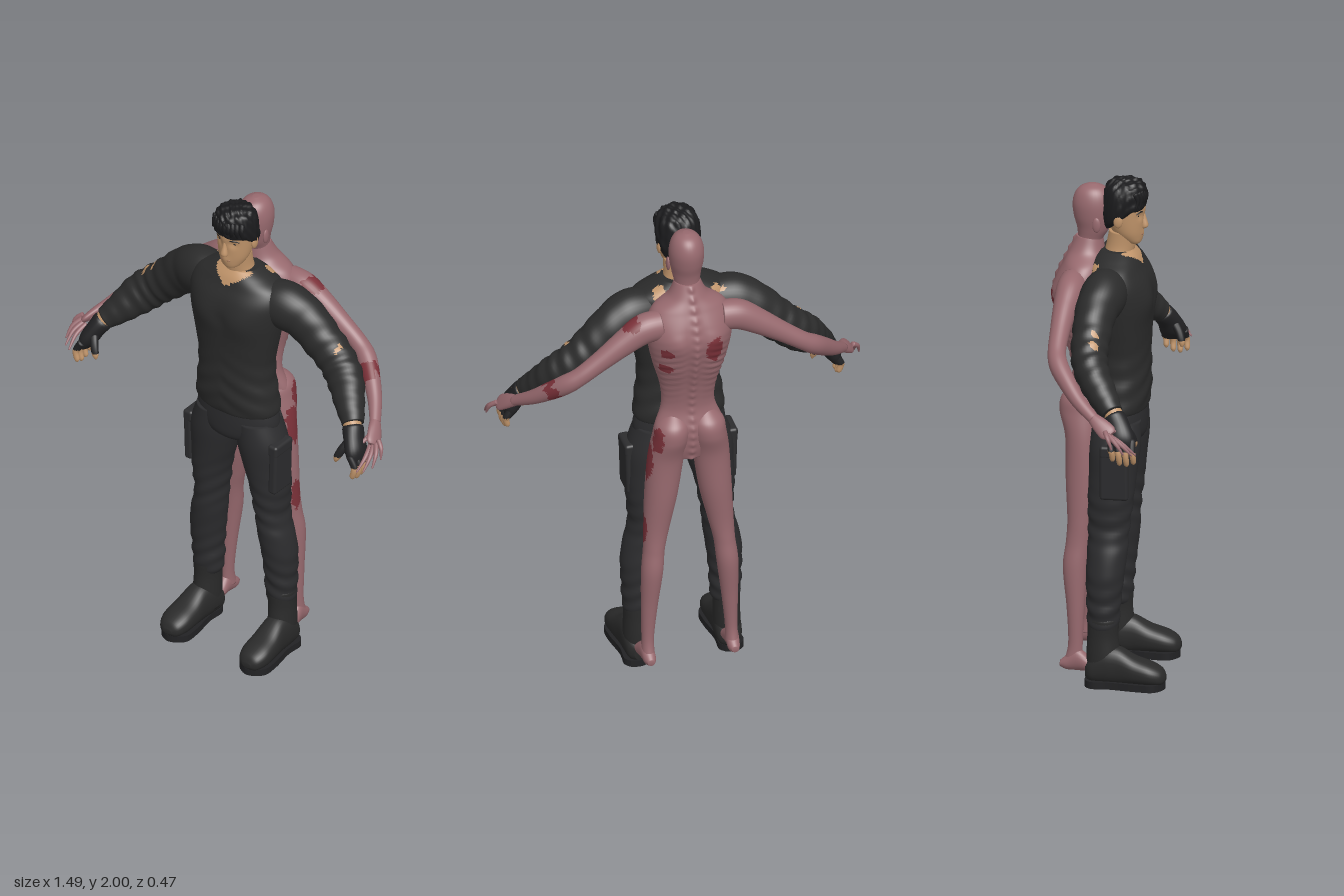
import * as THREE from 'three';
import { RoundedBoxGeometry } from 'three/addons/geometries/RoundedBoxGeometry.js';

const paint = (name, color) => Object.assign(new THREE.MeshStandardMaterial({ color }), { name });
const V = (x, y, z) => new THREE.Vector3(x, y, z);
const Y = V(0, 1, 0), Z = V(0, 0, 1), X = V(1, 0, 0);
const gauss = (dx, dy, r) => Math.exp(-(dx * dx + dy * dy) / (r * r));

// true where a point lies in one of the ragged ellipsoids [x, y, z, rx, ry, rz]
const inBlobs = blobs => p => blobs.some(([x, y, z, a, b, c]) => {
  const wobble = 0.16 * Math.sin(p.y * 170 + p.x * 60) + 0.12 * Math.sin(p.z * 210 + p.y * 90);
  return ((p.x - x) / a) ** 2 + ((p.y - y) / b) ** 2 + ((p.z - z) / c) ** 2 < 1 + wobble;
});

// smooth skin through rings [x, y, z, a, b]; b lies along ref, a across it
function loft(name, mats, rings, { n = 32, steps = 6, ref = Z, dir, pow = 1, shape, spot } = {}) {
  const at = i => rings[Math.min(Math.max(i, 0), rings.length - 1)];
  const rows = [];
  for (let i = 0; i < rings.length - 1; i++) {
    for (let k = 0; k < steps + (i === rings.length - 2 ? 1 : 0); k++) {
      const t = k / steps, [p, q, r, s] = [at(i - 1), at(i), at(i + 1), at(i + 2)];
      rows.push(q.map((_, j) => 0.5 * (2 * q[j] + (r[j] - p[j]) * t
        + (2 * p[j] - 5 * q[j] + 4 * r[j] - s[j]) * t * t + (3 * q[j] - p[j] - 3 * r[j] + s[j]) * t ** 3)));
    }
  }
  const pts = [], centre = r => V(r[0], r[1], r[2]);
  rows.forEach((r, i) => {
    const T = dir ? dir.clone() : centre(rows[Math.min(i + 1, rows.length - 1)]).sub(centre(rows[Math.max(i - 1, 0)])).normalize();
    const B = ref.clone().addScaledVector(T, -ref.dot(T)).normalize();
    const A = B.clone().cross(T);
    for (let j = 0; j < n; j++) {
      const w = j / n * Math.PI * 2, c = Math.cos(w), s = Math.sin(w);
      const p = centre(r).addScaledVector(A, Math.max(r[3], 0.002) * Math.sign(c) * Math.abs(c) ** pow)
        .addScaledVector(B, Math.max(r[4], 0.002) * Math.sign(s) * Math.abs(s) ** pow);
      if (shape) shape(p, A.clone().multiplyScalar(c).addScaledVector(B, s), i / (rows.length - 1));
      pts.push(p);
    }
  });
  const last = (rows.length - 1) * n, end = pts.length;
  pts.push(centre(rows[0]), centre(rows[rows.length - 1]));
  const lists = [[], []];
  const tri = (a, b, c) => {
    const mid = pts[a].clone().add(pts[b]).add(pts[c]).divideScalar(3);
    lists[spot && spot(mid) ? 1 : 0].push(a, b, c);
  };
  for (let j = 0; j < n; j++) {
    const k = (j + 1) % n;
    for (let i = 0; i < last; i += n) {
      tri(i + j, i + k, i + n + j);
      tri(i + k, i + n + k, i + n + j);
    }
    tri(end, k, j);
    tri(end + 1, last + j, last + k);
  }
  const g = new THREE.BufferGeometry().setFromPoints(pts);
  g.setIndex([...lists[0], ...lists[1]]);
  if (spot) {
    g.addGroup(0, lists[0].length, 0);
    g.addGroup(lists[0].length, lists[1].length, 1);
  }
  g.computeVertexNormals();
  const m = new THREE.Mesh(g, mats);
  m.name = name;
  return m;
}

function ball(name, mat, pos, size) {
  const m = new THREE.Mesh(new THREE.SphereGeometry(1, 18, 12), mat);
  m.name = name;
  m.position.set(...pos);
  m.scale.set(...size);
  return m;
}

export function createModel() {
  const skin = paint('skin', 0xc0946a), lip = paint('lips', 0xa4735a), hair = paint('hair', 0x1b1b1d);
  const shirt = paint('shirt', 0x2b2b2b), pants = paint('trousers', 0x2c2c2e), boot = paint('boots', 0x2a2a2a);
  const glove = paint('gloves', 0x222224), flesh = paint('flesh', 0x97696e), wound = paint('wounds', 0x7b3139);
  const model = new THREE.Group(), man = new THREE.Group(), creature = new THREE.Group();
  man.name = 'clothedMan';
  creature.name = 'gauntCreature';
  model.add(man, creature);
  const side = (s, rings) => rings.map(([x, ...r]) => [s * x, ...r]);

  // head, face and neck
  man.add(loft('neck', skin, [[0, 1.62, 0.02, 0.08, 0.06], [0, 1.68, 0.025, 0.068, 0.058], [0, 1.73, 0.035, 0.058, 0.056], [0, 1.79, 0.045, 0.058, 0.055]], { dir: Y }));
  man.add(loft('head', skin, [[0, 1.735, 0.088, 0.018, 0.016], [0, 1.745, 0.083, 0.037, 0.031], [0, 1.77, 0.068, 0.055, 0.05],
    [0, 1.80, 0.058, 0.066, 0.063], [0, 1.85, 0.05, 0.074, 0.073], [0, 1.90, 0.048, 0.077, 0.077], [0, 1.94, 0.048, 0.07, 0.073], [0, 1.975, 0.048, 0.04, 0.045]], {
    dir: Y, n: 48, shape: p => {
      if (p.z < 0.07) return;
      p.z += 0.006 * gauss(p.x, p.y - 1.877, 0.03) - 0.009 * gauss(Math.abs(p.x) - 0.031, p.y - 1.855, 0.014) + 0.005 * gauss(p.x, p.y - 1.775, 0.02);
    } }));
  man.add(loft('nose', skin, [[0, 1.868, 0.118, 0.006, 0.007], [0, 1.84, 0.122, 0.009, 0.011], [0, 1.808, 0.127, 0.015, 0.014], [0, 1.797, 0.12, 0.009, 0.008]], { dir: Y.clone().negate(), n: 14 }));
  man.add(ball('mouth', lip, [0, 1.777, 0.117], [0.022, 0.006, 0.006]));
  for (const s of [-1, 1]) {
    man.add(ball('eye', hair, [s * 0.031, 1.855, 0.106], [0.011, 0.004, 0.004]));
    man.add(loft('eyebrow', hair, side(s, [[0.015, 1.868, 0.121, 0.003, 0.003], [0.034, 1.873, 0.115, 0.004, 0.004], [0.053, 1.866, 0.1, 0.002, 0.003]]), { n: 8 }));
    man.add(ball('ear', skin, [s * 0.077, 1.845, 0.035], [0.009, 0.028, 0.018]));
  }

  // tousled hair, lower at the nape than at the fringe
  man.add(loft('hair', hair, [[0, 1.875, 0.046, 0.074, 0.072], [0, 1.885, 0.046, 0.084, 0.083], [0, 1.92, 0.046, 0.087, 0.088],
    [0, 1.955, 0.048, 0.08, 0.083], [0, 1.98, 0.05, 0.062, 0.066], [0, 1.992, 0.052, 0.03, 0.034], [0, 1.993, 0.052, 0.004, 0.004]], {
    dir: Y, n: 64, shape: (p, out, t) => {
      const lump = Math.sin(p.x * 130 + p.y * 60) * Math.sin(p.z * 120 - p.y * 90) + 0.5 * Math.sin(p.x * 260 - p.z * 210);
      p.addScaledVector(out, 0.0035 * lump * (1 - t * 0.5));
      p.y += 0.004 * lump;
      p.y -= Math.max(0, 0.75 - t) * Math.min(0.1, Math.max(0, 0.085 - p.z));
    } }));
  for (let i = -4; i <= 4; i++) {
    const x = i * 0.016, z = 0.046 + 0.086 * Math.sqrt(1 - (x / 0.095) ** 2);
    man.add(loft('hairLock', hair, [[x, 1.955, z - 0.012, 0.01, 0.01], [x + 0.004, 1.925, z, 0.012, 0.008], [x + 0.009 * Math.sin(i * 5), 1.89 + 0.006 * Math.sin(i * 3), z - 0.007, 0.003, 0.003]], { n: 8, steps: 4 }));
  }

  // shirt body with an open neckline and torn shoulder
  const tear = inBlobs([[-0.14, 1.68, -0.06, 0.03, 0.03, 0.03], [0.10, 1.69, -0.045, 0.025, 0.04, 0.035],
    [-0.47, 1.46, 0, 0.012, 0.06, 0.022], [-0.435, 1.49, 0, 0.01, 0.05, 0.018], [0.455, 1.46, 0, 0.012, 0.06, 0.025]]);
  man.add(loft('shirt', [shirt, skin], [[0, 1.085, 0.035, 0.165, 0.098], [0, 1.09, 0.035, 0.178, 0.107], [0, 1.14, 0.038, 0.177, 0.112], [0, 1.22, 0.043, 0.165, 0.108],
    [0, 1.32, 0.044, 0.164, 0.106], [0, 1.42, 0.043, 0.182, 0.112], [0, 1.52, 0.04, 0.2, 0.12], [0, 1.60, 0.032, 0.208, 0.117], [0, 1.655, 0.022, 0.19, 0.1],
    [0, 1.69, 0.02, 0.13, 0.085], [0, 1.715, 0.022, 0.074, 0.064]], {
    dir: Y, n: 72, pow: 0.9, shape: (p, out) => {
      const fold = Math.sin(p.y * 75 + Math.abs(p.x) * 40) * gauss(0, p.y - 1.2, 0.12);
      p.addScaledVector(out, 0.003 * fold);
      if (p.z > 0.05) p.z += 0.012 * gauss(Math.abs(p.x) - 0.085, p.y - 1.53, 0.07) - 0.005 * gauss(p.x, p.y - 1.52, 0.03);
    }, spot: p => tear(p) || (p.z > 0.05 && p.y > 1.655 + Math.abs(p.x) * 0.65) }));

  for (const s of [-1, 1]) {
    // sleeve, fingerless glove and fingers
    man.add(loft('sleeve', [shirt, skin], side(s, [[0.11, 1.59, 0.01, 0.08, 0.08], [0.2, 1.585, 0, 0.098, 0.088], [0.28, 1.545, -0.018, 0.092, 0.08], [0.36, 1.475, -0.023, 0.084, 0.074],
      [0.43, 1.415, -0.02, 0.08, 0.07], [0.49, 1.36, 0.005, 0.078, 0.066], [0.55, 1.295, 0.055, 0.06, 0.056], [0.595, 1.25, 0.095, 0.044, 0.042]]), {
      n: 40, steps: 10, shape: (p, out, t) => p.addScaledVector(out, 0.003 * Math.sin(t * 60 + p.z * 35) * gauss(0, t - 0.6, 0.3)), spot: tear }));
    man.add(loft('wrist', skin, side(s, [[0.57, 1.275, 0.08, 0.036, 0.036], [0.615, 1.225, 0.115, 0.034, 0.036]]), { n: 20 }));
    man.add(loft('glove', glove, side(s, [[0.597, 1.245, 0.1, 0.03, 0.03], [0.6, 1.24, 0.103, 0.04, 0.042], [0.62, 1.205, 0.122, 0.036, 0.046], [0.64, 1.165, 0.135, 0.034, 0.052], [0.652, 1.13, 0.14, 0.02, 0.046]]), { n: 24 }));
    for (let k = 0; k < 4; k++) {
      const z = 0.1 + k * 0.027, drop = [0.018, 0.003, 0, 0.01][k];
      man.add(loft('finger', [skin, glove], side(s, [[0.642, 1.165, z, 0.015, 0.013], [0.663, 1.13, z, 0.015, 0.013], [0.668, 1.1 + drop, z + 0.004, 0.013, 0.012], [0.66, 1.072 + drop, z + 0.006, 0.011, 0.01], [0.655, 1.064 + drop, z + 0.006, 0.004, 0.004]]),
        { n: 12, steps: 4, spot: p => p.y > 1.125 }));
    }
    man.add(loft('thumb', [glove, skin], side(s, [[0.615, 1.205, 0.14, 0.018, 0.018], [0.595, 1.17, 0.165, 0.017, 0.016], [0.58, 1.135, 0.178, 0.014, 0.013], [0.575, 1.115, 0.18, 0.005, 0.005]]), { n: 12, spot: p => p.y < 1.14 }));

    // trouser leg and cargo pocket
    man.add(loft('trouserLeg', pants, side(s, [[0.095, 1.05, 0.032, 0.08, 0.095], [0.11, 0.95, 0.028, 0.1, 0.1], [0.123, 0.85, 0.022, 0.09, 0.095], [0.138, 0.75, 0.016, 0.076, 0.09], [0.145, 0.62, 0.01, 0.062, 0.08],
      [0.157, 0.54, 0.008, 0.068, 0.078], [0.17, 0.45, 0.001, 0.07, 0.074], [0.174, 0.34, -0.004, 0.063, 0.066], [0.173, 0.25, -0.006, 0.06, 0.06], [0.173, 0.22, -0.006, 0.05, 0.05]]), {
      n: 40, steps: 8, dir: Y.clone().negate(), shape: (p, out) => p.addScaledVector(out, 0.0035 * Math.sin(p.y * 90 + p.x * s * 50) * (gauss(0, p.y - 0.32, 0.1) + gauss(0, p.y - 0.66, 0.09))) }));
    for (const [name, y, h, w] of [['cargoPocket', 0.86, 0.2, 0.036], ['pocketFlap', 0.955, 0.05, 0.044]]) {
      const pocket = new THREE.Mesh(new RoundedBoxGeometry(w, h, 0.11, 3, 0.012), pants);
      pocket.name = name;
      pocket.position.set(s * 0.203, y, 0.04);
      pocket.rotation.z = s * -0.03;
      man.add(pocket);
    }

    // boot shaft, foot and sole
    man.add(loft('bootShaft', boot, side(s, [[0.176, 0.275, -0.005, 0.052, 0.055], [0.176, 0.265, -0.005, 0.057, 0.061], [0.178, 0.2, -0.007, 0.052, 0.06], [0.18, 0.12, -0.005, 0.052, 0.065], [0.18, 0.05, -0.005, 0.05, 0.062]]), { dir: Y.clone().negate() }));
    man.add(loft('bootFoot', boot, side(s, [[0.18, 0.06, -0.073, 0.03, 0.025], [0.18, 0.065, -0.05, 0.05, 0.048], [0.182, 0.085, 0, 0.075, 0.054], [0.185, 0.085, 0.055, 0.075, 0.054], [0.188, 0.07, 0.12, 0.055, 0.06],
      [0.19, 0.06, 0.18, 0.044, 0.061], [0.19, 0.05, 0.222, 0.032, 0.045], [0.19, 0.045, 0.239, 0.01, 0.018]]), { dir: Z, ref: X, pow: 0.85, shape: p => { p.y = Math.max(p.y, 0.015); } }));
    const outline = new THREE.Shape();
    outline.moveTo(0.03, 0.068);
    outline.splineThru([[0.05, 0.04], [0.047, -0.03], [0.062, -0.13], [0.058, -0.2], [0, -0.236], [-0.058, -0.2], [-0.06, -0.13], [-0.047, -0.03], [-0.05, 0.04], [-0.03, 0.068], [0, 0.075], [0.03, 0.068]].map(p => new THREE.Vector2(...p)));
    const sole = new THREE.Mesh(new THREE.ExtrudeGeometry(outline, { depth: 0.028, bevelEnabled: false }), glove);
    sole.name = 'bootSole';
    sole.rotation.x = -Math.PI / 2;
    sole.position.x = s * 0.188;
    man.add(sole);
  }
  man.add(loft('trouserSeat', pants, [[0, 1.12, 0.035, 0.165, 0.1], [0, 1.03, 0.032, 0.182, 0.106], [0, 0.97, 0.03, 0.14, 0.1], [0, 0.94, 0.028, 0.06, 0.06]], { dir: Y.clone().negate() }));

  // creature: torso with spine, ribs and shoulder blades
  const sore = inBlobs([[-0.075, 1.5, -0.22, 0.036, 0.058, 0.07], [0.22, 1.6, -0.13, 0.05, 0.05, 0.05], [0.11, 1.5, -0.19, 0.025, 0.022, 0.05], [0.11, 1.42, -0.18, 0.028, 0.02, 0.05],
    [0.53, 1.36, -0.09, 0.042, 0.045, 0.06], [0.15, 0.96, -0.1, 0.06, 0.08, 0.036], [0.14, 1.08, -0.145, 0.06, 0.055, 0.03], [0.17, 0.65, -0.1, 0.06, 0.068, 0.026]]);
  const raw = [flesh, wound];
  creature.add(loft('torso', raw, [[0, 0.97, -0.1, 0.08, 0.045], [0, 1.03, -0.1, 0.13, 0.06], [0, 1.11, -0.1, 0.135, 0.066], [0, 1.2, -0.09, 0.106, 0.058], [0, 1.3, -0.098, 0.112, 0.068], [0, 1.42, -0.108, 0.145, 0.098],
    [0, 1.52, -0.112, 0.165, 0.115], [0, 1.6, -0.108, 0.168, 0.104], [0, 1.66, -0.1, 0.14, 0.085], [0, 1.705, -0.095, 0.078, 0.068], [0, 1.76, -0.085, 0.05, 0.05]], {
    dir: Y, n: 80, steps: 12, shape: (p, out) => {
      if (p.z > -0.11) return;
      const ax = Math.abs(p.x), rib = gauss(0, p.y - 1.4, 0.1) * gauss(ax - 0.09, 0, 0.05);
      p.z -= 0.011 * gauss(ax - 0.085, p.y - 1.55, 0.05) - 0.009 * gauss(ax - 0.028, (p.y - 1.45) * 0.12, 0.018);
      p.z -= gauss(p.x, 0, 0.011) * (0.005 + 0.003 * Math.sin(p.y * 170));
      p.addScaledVector(out, 0.004 * rib * Math.sin(p.y * 190 + ax * 60));
    }, spot: sore }));
  creature.add(loft('baldHead', flesh, [[0, 1.68, -0.095, 0.068, 0.06], [0, 1.74, -0.085, 0.05, 0.048], [0, 1.79, -0.072, 0.056, 0.062], [0, 1.84, -0.073, 0.065, 0.074], [0, 1.89, -0.075, 0.067, 0.077],
    [0, 1.93, -0.075, 0.058, 0.067], [0, 1.955, -0.075, 0.04, 0.046], [0, 1.968, -0.075, 0.012, 0.014]], { dir: Y }));

  for (const s of [-1, 1]) {
    creature.add(ball('ear', flesh, [s * 0.066, 1.82, -0.05], [0.008, 0.03, 0.016]));

    // thin arm and long-fingered hand
    creature.add(loft('arm', raw, side(s, [[0.12, 1.6, -0.13, 0.06, 0.055], [0.19, 1.592, -0.132, 0.06, 0.055], [0.27, 1.548, -0.14, 0.05, 0.046], [0.36, 1.488, -0.145, 0.04, 0.038], [0.44, 1.432, -0.144, 0.036, 0.035],
      [0.49, 1.395, -0.128, 0.039, 0.037], [0.54, 1.35, -0.09, 0.037, 0.034], [0.6, 1.295, -0.035, 0.028, 0.028], [0.655, 1.245, 0.035, 0.018, 0.022]]), { steps: 10, spot: sore }));
    creature.add(loft('palm', flesh, side(s, [[0.645, 1.252, 0.022, 0.02, 0.02], [0.668, 1.232, 0.055, 0.03, 0.018], [0.69, 1.208, 0.09, 0.034, 0.014], [0.698, 1.198, 0.103, 0.025, 0.009]]), { n: 20, ref: V(s, 0.7, 0) }));
    [[0.665, 1.225, 0.06, 0.632, 1.165, 0.16], [0.682, 1.19, 0.1, 0.69, 1.12, 0.2], [0.695, 1.195, 0.1, 0.714, 1.125, 0.19], [0.705, 1.203, 0.095, 0.735, 1.135, 0.16], [0.708, 1.215, 0.085, 0.742, 1.155, 0.115]]
      .forEach(([x, y, z, u, v, w]) => creature.add(loft('longFinger', flesh, side(s, [[x, y, z, 0.01, 0.01], [(x + u) / 2 + 0.008, (y + v) / 2 + 0.008, (z + w) / 2, 0.0085, 0.0085], [u, v, w, 0.003, 0.003]]), { n: 10, ref: X })));

    // buttock, leg and bare foot
    creature.add(loft('leg', raw, side(s, [[0.062, 1.175, -0.11, 0.025, 0.025], [0.068, 1.13, -0.116, 0.064, 0.066], [0.074, 1.07, -0.112, 0.071, 0.078], [0.09, 0.97, -0.1, 0.071, 0.066], [0.108, 0.8, -0.096, 0.064, 0.065],
      [0.128, 0.65, -0.102, 0.05, 0.05], [0.14, 0.56, -0.11, 0.042, 0.046], [0.15, 0.46, -0.12, 0.042, 0.046], [0.16, 0.3, -0.116, 0.032, 0.034], [0.166, 0.16, -0.115, 0.024, 0.028], [0.167, 0.09, -0.122, 0.026, 0.036]]), { n: 40, steps: 12, dir: Y.clone().negate(), spot: sore }));
    creature.add(loft('foot', flesh, side(s, [[0.167, 0.075, -0.174, 0.012, 0.014], [0.167, 0.08, -0.15, 0.028, 0.024], [0.17, 0.097, -0.11, 0.046, 0.027], [0.173, 0.08, -0.06, 0.029, 0.033], [0.177, 0.066, -0.012, 0.016, 0.039], [0.178, 0.061, 0.008, 0.01, 0.036]]), { dir: Z, ref: X, n: 24 }));
    for (let k = 0; k < 5; k++) creature.add(ball('toe', flesh, [s * (0.15 + k * 0.0145), 0.06, 0.016 - k * 0.005], [0.009 - k * 0.0006, 0.009, 0.016]));
  }
  return model;
}
